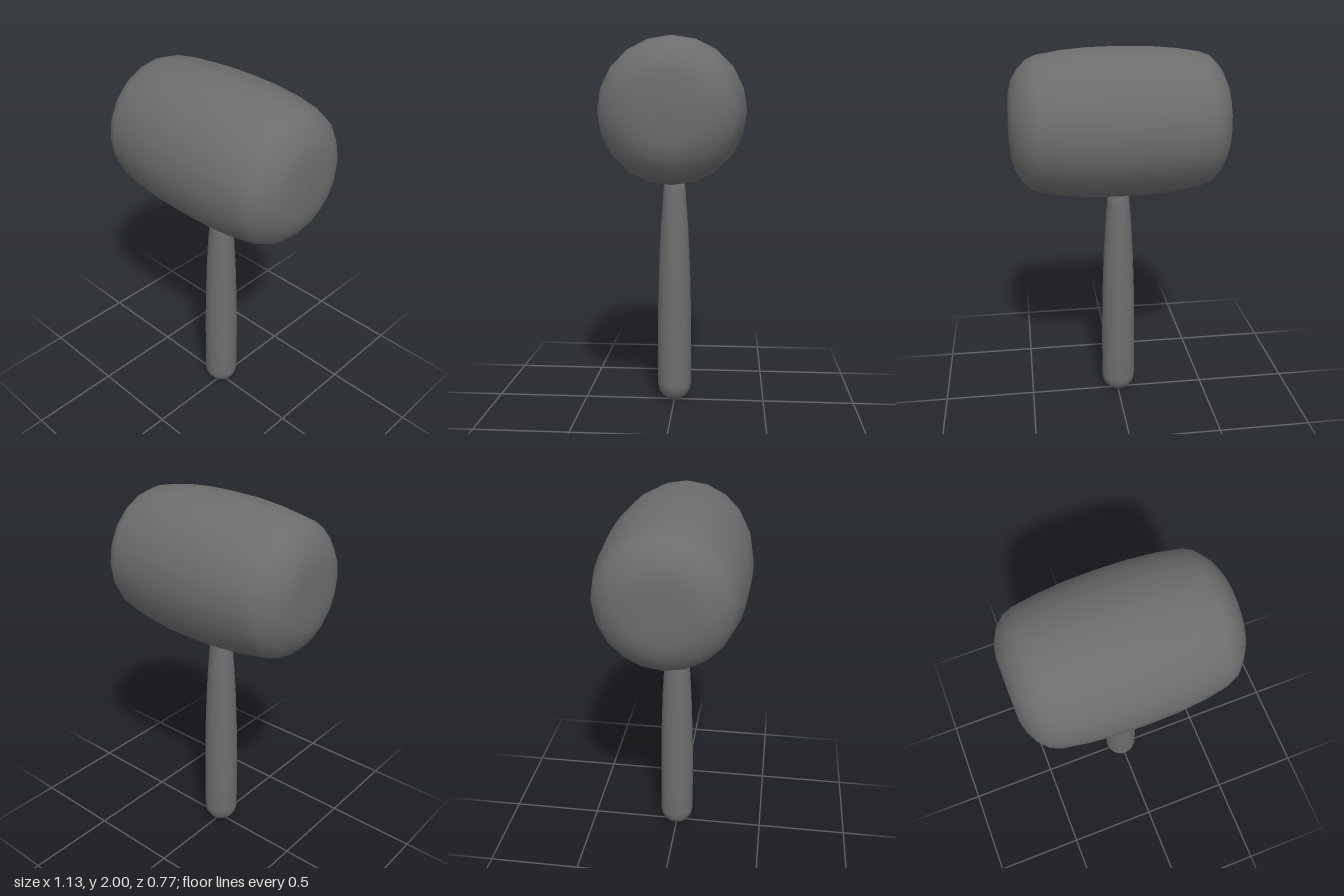
import * as THREE from 'three';

// Smooth turned solid from [radius, height] pairs, listed bottom to top
function turned(name, points, sides) {
  const profile = points.map(([r, y]) => new THREE.Vector2(r, y));
  const geometry = new THREE.LatheGeometry(profile, sides);
  const mesh = new THREE.Mesh(geometry, new THREE.MeshStandardMaterial({ color: 0x6d6d6d }));
  mesh.name = name;
  return mesh;
}

export function createModel() {
  const model = new THREE.Group();
  model.name = 'mallet';

  // Barrel-shaped head lying along x: one flat end, one slightly domed end
  const head = turned('head', [
    [0, -0.567], [0.09, -0.567], [0.165, -0.566], [0.225, -0.55], [0.283, -0.52],
    [0.33, -0.473], [0.351, -0.42], [0.371, -0.295], [0.384, -0.15], [0.387, 0],
    [0.384, 0.15], [0.371, 0.295], [0.35, 0.413], [0.328, 0.463], [0.283, 0.506],
    [0.228, 0.54], [0.165, 0.556], [0.085, 0.562], [0, 0.565],
  ], 20);
  head.rotation.z = -Math.PI / 2;
  head.position.set(0, 1.613, -0.002);
  model.add(head);

  // Tapered handle with a rounded butt, its tip sunk into the head
  const handle = turned('handle', [
    [0, 0], [0.037, 0.008], [0.067, 0.03], [0.087, 0.06], [0.094, 0.1],
    [0.094, 0.28], [0.093, 0.46], [0.089, 0.66], [0.082, 0.86],
    [0.073, 1.02], [0.062, 1.17], [0.057, 1.225], [0.045, 1.25], [0, 1.26],
  ], 20);
  handle.position.x = -0.004;
  model.add(handle);

  return model;
}
